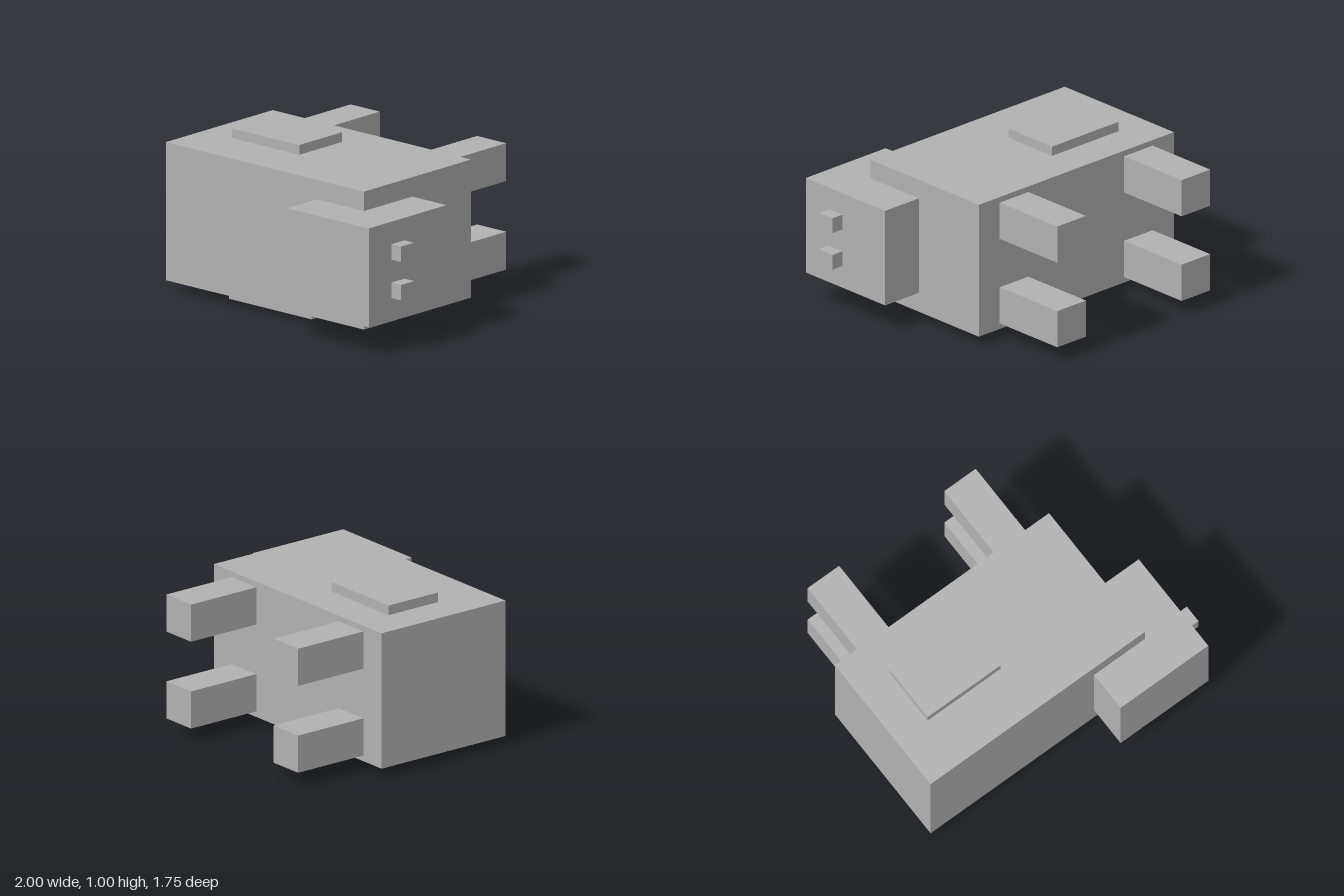
import * as THREE from 'three';

export function createModel() {
  const model = new THREE.Group();
  const grey = new THREE.MeshStandardMaterial({ color: 0xb2b2b2 });
  grey.name = 'plain grey';

  // Box given by its [min, max] range on each axis
  function block(name, [x0, x1], [y0, y1], [z0, z1]) {
    const mesh = new THREE.Mesh(new THREE.BoxGeometry(x1 - x0, y1 - y0, z1 - z0), grey);
    mesh.position.set((x0 + x1) / 2, (y0 + y1) / 2, (z0 + z1) / 2);
    mesh.name = name;
    model.add(mesh);
  }

  // Animal lying on its side: head towards +x, legs towards -z
  block('body', [-1, 0.637], [0.063, 0.938], [-0.363, 0.605]);
  block('head', [0.25, 0.92], [0.188, 0.815], [0.17, 0.873]);

  // Raised patches on both flanks
  block('upperFlankPatch', [-0.765, -0.208], [0.938, 1], [-0.12, 0.265]);
  block('lowerFlankPatch', [-0.583, 0.098], [0, 0.063], [-0.093, 0.488]);

  // Horn stubs on the end of the head
  for (const y of [0.38, 0.623]) {
    block('headStub', [0.92, 1], [y - 0.049, y + 0.049], [0.55, 0.668]);
  }

  // Four legs
  for (const x of [-0.702, 0.342]) {
    for (const y of [0.22, 0.781]) {
      block(x < 0 ? 'hindLeg' : 'frontLeg', [x - 0.12, x + 0.12], [y - 0.12, y + 0.12], [-0.873, -0.363]);
    }
  }
  return model;
}
